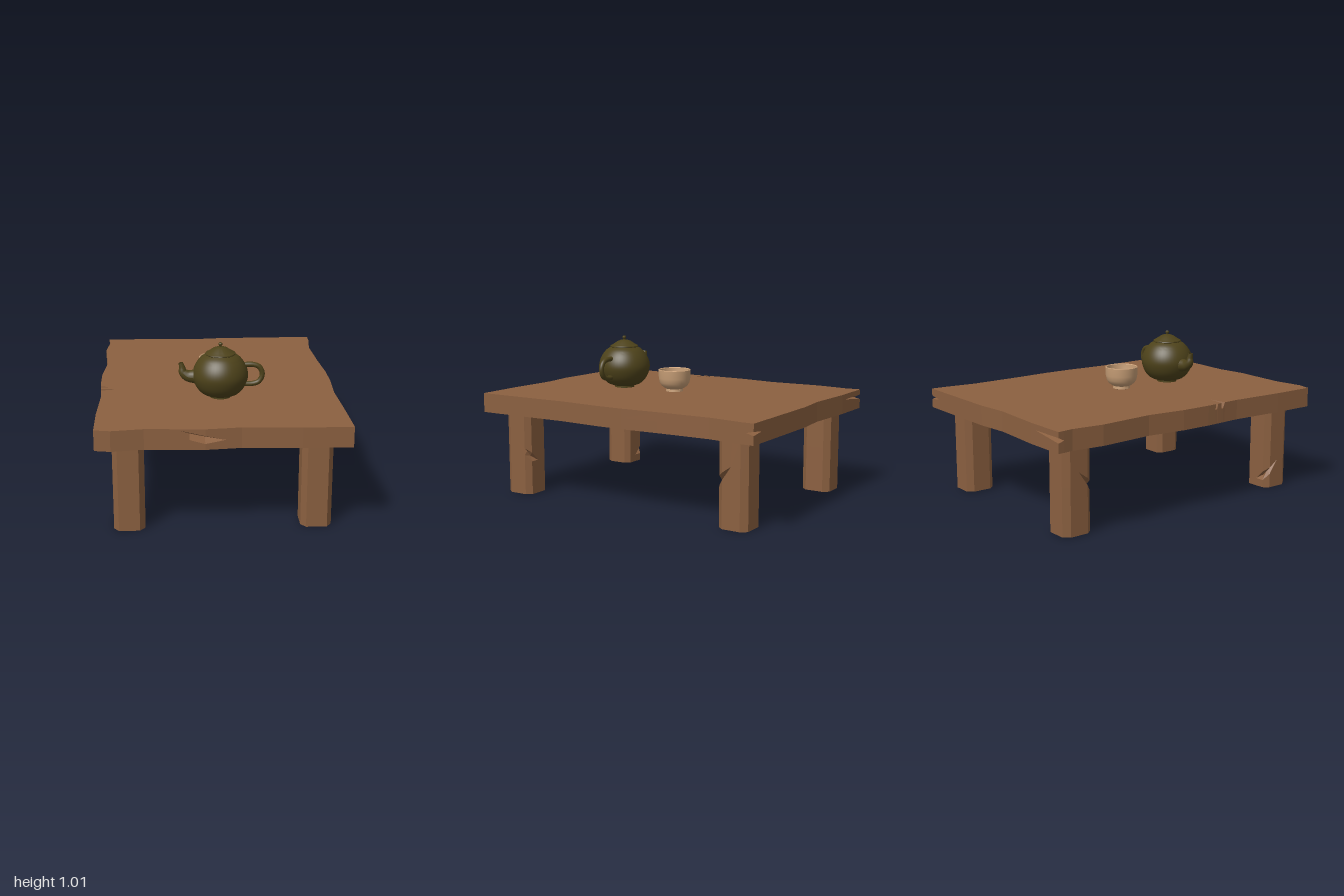
import * as THREE from 'three';
import { toCreasedNormals } from 'three/addons/utils/BufferGeometryUtils.js';

const wood = new THREE.MeshStandardMaterial({ color: 0x8b6040, flatShading: true });
const clay = new THREE.MeshStandardMaterial({ color: 0x4d421a, side: THREE.DoubleSide });
const bowlClay = new THREE.MeshStandardMaterial({ color: 0xc79e76, side: THREE.DoubleSide });

// One upright edge of a wooden block. A gouge at height y opens by h above and
// below, and its deepest line is pushed by (dx, dz). topDx cuts in from the top.
const col = (x, z, y, h = 0, dx = 0, dz = 0, topDx = 0) => ({ x, z, y, h, dx, dz, topDx });

// Closed block through a counterclockwise loop of columns.
function block(cols, y0, y1) {
  const V = (x, y, z) => new THREE.Vector3(x, y, z);
  const rings = [
    cols.map(c => V(c.x, y0, c.z)),
    cols.map(c => V(c.x, c.y - c.h, c.z)),
    cols.map(c => V(c.x + c.dx, c.y, c.z + c.dz)),
    cols.map(c => V(c.x, c.y + c.h, c.z)),
    cols.map(c => V(c.x + c.topDx, y1, c.z)),
  ];
  const pos = [];
  const tri = (a, b, c) => {
    const area = b.clone().sub(a).cross(c.clone().sub(a)).length();
    if (area > 1e-7) for (const p of [a, b, c]) pos.push(p.x, p.y, p.z);
  };
  for (let r = 0; r < 4; r++) {
    for (let i = 0; i < cols.length; i++) {
      const j = (i + 1) % cols.length, lo = rings[r], hi = rings[r + 1];
      tri(lo[i], lo[j], hi[j]);
      tri(lo[i], hi[j], hi[i]);
    }
  }
  const cap = (ring, up) => {
    const flat = ring.map(p => new THREE.Vector2(p.x, -p.z));
    for (const [a, b, c] of THREE.ShapeUtils.triangulateShape(flat, [])) {
      if (up) tri(ring[a], ring[b], ring[c]);
      else tri(ring[a], ring[c], ring[b]);
    }
  };
  cap(rings[0], false);
  cap(rings[4], true);
  const g = new THREE.BufferGeometry();
  g.setAttribute('position', new THREE.Float32BufferAttribute(pos, 3));
  g.computeVertexNormals();
  return g;
}

function add(parent, name, geometry, material) {
  const mesh = new THREE.Mesh(geometry, material);
  mesh.name = name;
  parent.add(mesh);
  return mesh;
}

function tabletop() {
  const plain = pts => pts.map(([x, z]) => col(x, z, 0.607));
  return block([
    // front edge with its long gouge
    ...plain([[-0.745, 0.98], [-0.65, 1], [-0.46, 0.975]]),
    col(-0.26, 0.987, 0.657),
    col(-0.2, 0.991, 0.622, 0.022, 0, -0.05),
    col(-0.11, 0.997, 0.6, 0.024, 0, -0.06),
    col(0.01, 0.985, 0.595),
    ...plain([[0.1, 0.975], [0.45, 0.997], [0.745, 1]]),
    // right edge
    ...plain([[0.74, 0.7], [0.73, 0.35], [0.745, 0.1], [0.745, -0.1], [0.73, -0.35], [0.718, -0.7], [0.741, -0.9]]),
    // split back corners
    col(0.743, -0.95, 0.607),
    col(0.745, -1, 0.607, 0.012, -0.04, 0.04),
    col(0.65, -1, 0.607),
    ...plain([[0.1, -1], [-0.11, -0.98], [-0.45, -1]]),
    col(-0.5, -1, 0.63),
    col(-0.735, -1, 0.615, 0.016, 0.03, 0.05),
    col(-0.732, -0.96, 0.61),
    // left edge with two notches
    ...plain([[-0.725, -0.9], [-0.745, -0.7], [-0.72, -0.35], [-0.745, -0.1], [-0.745, 0.1]]),
    col(-0.742, 0.16, 0.63),
    col(-0.741, 0.172, 0.63, 0, 0, 0, 0.075),
    col(-0.741, 0.182, 0.63),
    col(-0.739, 0.212, 0.63),
    col(-0.738, 0.225, 0.63, 0, 0, 0, 0.12),
    col(-0.736, 0.242, 0.63),
    ...plain([[-0.73, 0.35], [-0.745, 0.7]]),
  ], 0.54, 0.665);
}

// Chamfered leg with a gouge around its outer, inward-facing corner.
function leg(sx, sz, lift) {
  const cols = [
    col(0.495, 0.905, 0.3), col(0.62, 0.905, 0.3), col(0.65, 0.865, 0.3),
    col(0.65, 0.805, 0.35 + lift),
    col(0.65, 0.745, 0.285 + lift, 0.022, -0.03, 0.005),
    col(0.62, 0.71, 0.25 + lift, 0.03, -0.02, 0.03),
    col(0.56, 0.71, 0.22 + lift),
    col(0.495, 0.71, 0.3), col(0.465, 0.745, 0.3), col(0.465, 0.865, 0.3),
  ].map(c => ({ ...c, x: c.x * sx, z: c.z * sz, dx: c.dx * sx, dz: c.dz * sz }));
  if (sx * sz < 0) cols.reverse();
  return block(cols, 0, 0.542);
}

const vec2 = pts => pts.map(p => new THREE.Vector2(...p));
const lathe = pts => toCreasedNormals(new THREE.LatheGeometry(pts, 48), 0.6);

// Tube whose radius follows a list of values along its length.
function taperedTube(points, radii) {
  const curve = new THREE.CatmullRomCurve3(points.map(p => new THREE.Vector3(...p, 0)));
  const n = 30, sides = 20;
  const g = new THREE.TubeGeometry(curve, n, 1, sides);
  const p = g.attributes.position, v = new THREE.Vector3();
  for (let i = 0; i <= n; i++) {
    const c = curve.getPointAt(i / n);
    const t = curve.getUtoTmapping(i / n) * (radii.length - 1);
    const k = Math.min(Math.floor(t), radii.length - 2);
    const r = THREE.MathUtils.lerp(radii[k], radii[k + 1], t - k);
    for (let j = 0; j <= sides; j++) {
      const id = i * (sides + 1) + j;
      v.fromBufferAttribute(p, id).sub(c).multiplyScalar(r).add(c);
      p.setXYZ(id, v.x, v.y, v.z);
    }
  }
  g.computeVertexNormals();
  return g;
}

function teapot() {
  const pot = new THREE.Group();
  pot.name = 'teapot';
  const belly = new THREE.SplineCurve(vec2([[0.075, 0.678], [0.115, 0.695], [0.15, 0.735], [0.17, 0.79],
    [0.168, 0.835], [0.15, 0.88], [0.12, 0.918], [0.085, 0.94]])).getPoints(28);
  add(pot, 'teapotBody', lathe([...vec2([[0, 0.665], [0.065, 0.665], [0.065, 0.678]]), ...belly]), clay);
  add(pot, 'lid', lathe(vec2([[0, 0.936], [0.09, 0.936], [0.094, 0.94], [0.092, 0.946], [0.07, 0.958],
    [0.045, 0.975], [0.022, 0.984], [0, 0.986]])), clay);
  add(pot, 'lidKnob', lathe(vec2([[0.008, 0.98], [0.008, 0.99], [0.012, 0.996], [0.012, 1.005], [0.008, 1.01], [0, 1.011]])), clay);
  add(pot, 'spout', taperedTube(
    [[-0.12, 0.8], [-0.165, 0.797], [-0.203, 0.803], [-0.231, 0.826], [-0.236, 0.855], [-0.244, 0.886]],
    [0.06, 0.042, 0.035, 0.027, 0.019, 0.014]), clay);
  add(pot, 'handle', taperedTube(
    [[0.145, 0.868], [0.2, 0.868], [0.24, 0.853], [0.26, 0.807], [0.24, 0.76], [0.2, 0.745], [0.145, 0.745]],
    [0.016, 0.016]), clay);
  pot.position.set(0.01, 0, 0.397);
  return pot;
}

function bowl() {
  return lathe(vec2([[0, 0.668], [0.05, 0.665], [0.056, 0.667], [0.054, 0.684], [0.066, 0.69], [0.085, 0.704],
    [0.098, 0.725], [0.104, 0.755], [0.106, 0.808], [0.102, 0.811], [0.097, 0.807], [0.095, 0.76],
    [0.088, 0.73], [0.07, 0.708], [0.037, 0.698], [0.035, 0.694], [0, 0.694]]));
}

export function createModel() {
  const model = new THREE.Group();
  model.name = 'teaTable';
  add(model, 'tabletop', tabletop(), wood);
  add(model, 'frontLeftLeg', leg(1, 1, 0), wood);
  add(model, 'backLeftLeg', leg(1, -1, 0.03), wood);
  add(model, 'frontRightLeg', leg(-1, 1, -0.17), wood);
  add(model, 'backRightLeg', leg(-1, -1, 0.03), wood);
  model.add(teapot());
  add(model, 'teaBowl', bowl(), bowlClay);
  return model;
}
